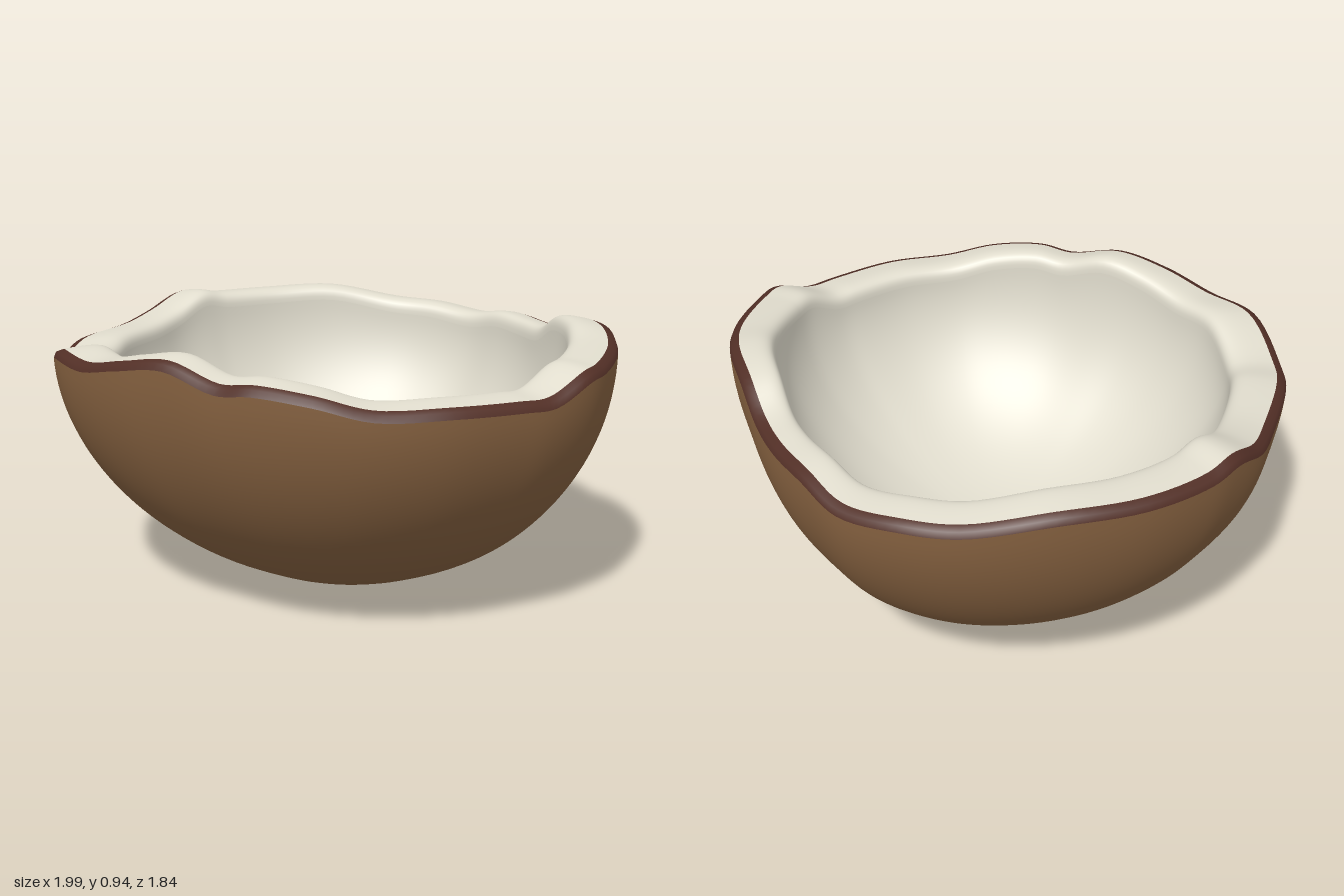
import * as THREE from 'three';

const SEGMENTS = 180;

// Wavy broken rim: x, height, z going round from the left side by way of the front
const RIM = [
  [1.0, 0.88, 0], [0.97, 0.82, 0.16], [0.93, 0.82, 0.27], [0.82, 0.825, 0.49],
  [0.66, 0.825, 0.67], [0.51, 0.865, 0.775], [0.33, 0.885, 0.85], [0.2, 0.875, 0.875],
  [0, 0.925, 0.9], [-0.2, 0.9, 0.915], [-0.4, 0.865, 0.89], [-0.61, 0.87, 0.82],
  [-0.8, 0.81, 0.64], [-0.88, 0.83, 0.49], [-0.957, 0.835, 0.21], [-0.99, 0.86, 0.05],
  [-0.985, 0.915, -0.12], [-0.957, 0.9, -0.24], [-0.85, 0.9, -0.465], [-0.66, 0.905, -0.685],
  [-0.42, 0.86, -0.845], [-0.235, 0.85, -0.91], [-0.02, 0.83, -0.925], [0.165, 0.855, -0.87],
  [0.335, 0.85, -0.797], [0.48, 0.855, -0.71], [0.62, 0.92, -0.615], [0.78, 0.93, -0.487],
  [0.9, 0.905, -0.33], [0.985, 0.885, -0.105],
];

// Closed skin over rings; section(t, r, h) returns [radius, y] for a rim radius r and rim height h
function loft(name, rows, section, material) {
  const curve = new THREE.CatmullRomCurve3(RIM.map((p) => new THREE.Vector3(...p)), true);
  const positions = [];
  const index = [];
  for (let j = 0; j <= rows; j++) {
    for (let i = 0; i < SEGMENTS; i++) {
      const p = curve.getPoint(i / SEGMENTS);
      const r = Math.hypot(p.x, p.z);
      const [radius, y] = section(j / rows, r, p.y);
      positions.push((p.x / r) * radius, y, (p.z / r) * radius);
      if (j < rows) {
        const a = j * SEGMENTS + i;
        const b = j * SEGMENTS + ((i + 1) % SEGMENTS);
        index.push(a, a + SEGMENTS, b, b, a + SEGMENTS, b + SEGMENTS);
      }
    }
  }
  const geometry = new THREE.BufferGeometry();
  geometry.setAttribute('position', new THREE.Float32BufferAttribute(positions, 3));
  geometry.setIndex(index);
  geometry.computeVertexNormals();
  const mesh = new THREE.Mesh(geometry, material);
  mesh.name = name;
  return mesh;
}

// Rounded bowl that takes up the rim's waviness towards the top
function bowl(t, rimRadius, rimHeight, meanRadius, meanHeight, floor) {
  const angle = Math.max(t, 0.002) * Math.PI / 2;
  const radius = THREE.MathUtils.lerp(meanRadius, rimRadius, 0.4 + 0.6 * t);
  const y = floor + (meanHeight - floor) * (1 - Math.cos(angle)) + (rimHeight - meanHeight) * t ** 4;
  return [radius * Math.sin(angle), y];
}

const innerRadius = (r) => 0.6 * r + 0.21;

export function createModel() {
  const shellBrown = new THREE.MeshStandardMaterial({ color: 0x84603f });
  const edgeBrown = new THREE.MeshStandardMaterial({ color: 0x522f26 });
  const fleshWhite = new THREE.MeshStandardMaterial({ color: 0xe0dccd });
  shellBrown.name = 'shellBrown';
  edgeBrown.name = 'edgeBrown';
  fleshWhite.name = 'fleshWhite';

  const group = new THREE.Group();
  group.name = 'halfCoconut';

  // Outer husk, stopping just under the rim
  group.add(loft('outerShell', 40, (t, r, h) => bowl(t, r, h - 0.03, 0.95, 0.86, 0), shellBrown));

  // Dark bevelled band of the broken shell
  group.add(loft('shellEdge', 2, (t, r, h) => [
    r - 0.035 * t * t,
    h - 0.03 + 0.03 * Math.sin(t * Math.PI / 2),
  ], edgeBrown));

  // Flat top of the flesh, rounding over at the inner lip
  group.add(loft('fleshRim', 14, (t, r, h) => [
    THREE.MathUtils.lerp(r - 0.035, innerRadius(r), Math.sin(t * Math.PI / 2)),
    h + 0.012 * Math.sin(t * Math.PI) - 0.045 * t ** 4,
  ], fleshWhite));

  // Hollow inside
  group.add(loft('fleshBowl', 36, (t, r, h) =>
    bowl(1 - t, innerRadius(r), h - 0.045, 0.78, 0.82, 0.16), fleshWhite));

  return group;
}
